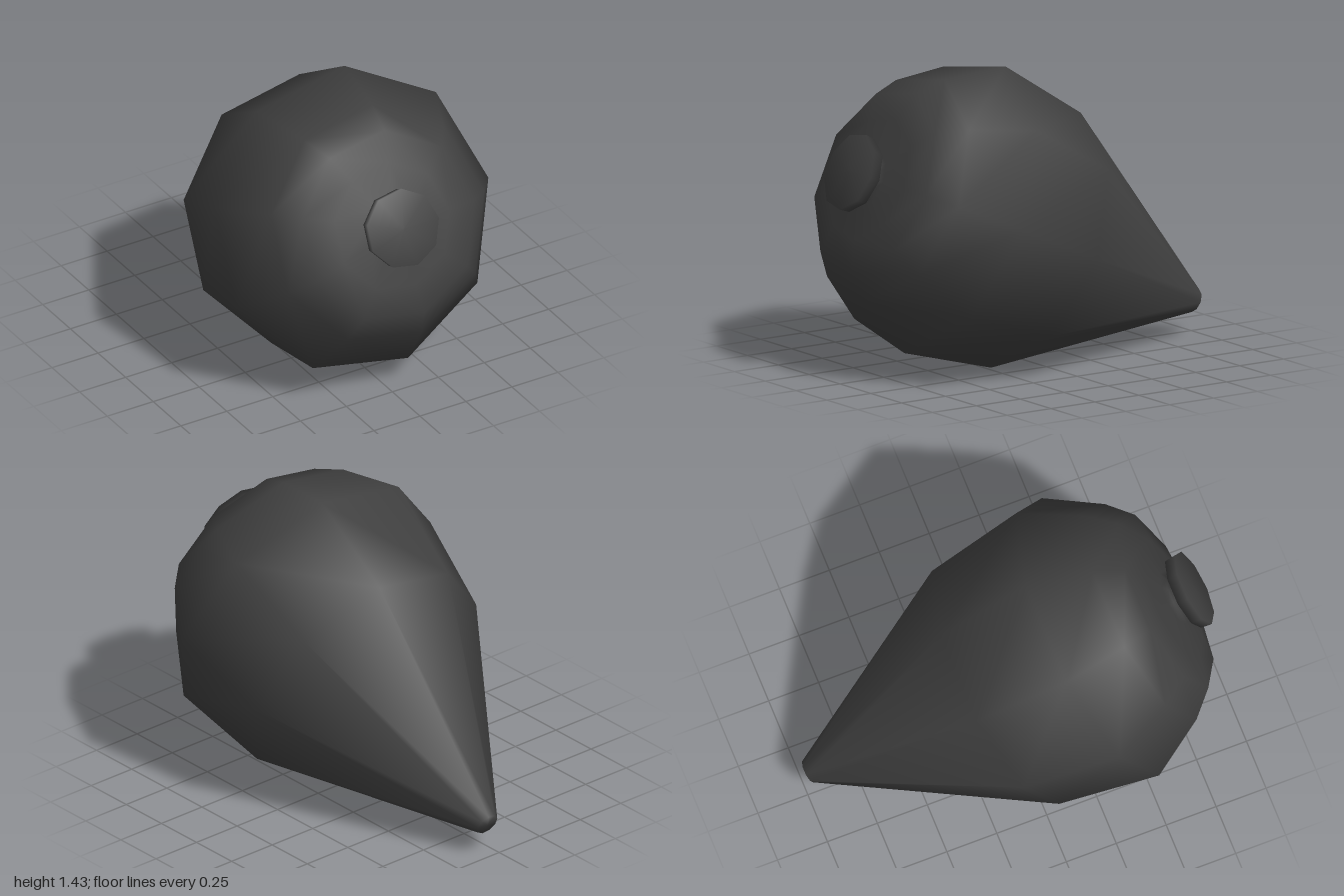
import * as THREE from 'three';

const SIDES = 9;

// Turned part: profile points are [radius, distance along the axis]
function turned(name, profile, material) {
  const points = profile.map(([r, t]) => new THREE.Vector2(r, t));
  const mesh = new THREE.Mesh(new THREE.LatheGeometry(points, SIDES, Math.PI / 2), material);
  mesh.name = name;
  return mesh;
}

export function createModel() {
  const group = new THREE.Group();
  group.name = 'taperedBulb';
  const material = new THREE.MeshStandardMaterial({ color: 0x404040 });

  // Leaning axis, running from the pointed back tip to the front button
  const axisGroup = new THREE.Group();
  axisGroup.name = 'leaningAxis';
  const yAxis = new THREE.Vector3(-0.046, 0.405, 0.913).normalize();
  const xAxis = new THREE.Vector3(1, 0, 0).addScaledVector(yAxis, -yAxis.x).normalize();
  const zAxis = new THREE.Vector3().crossVectors(xAxis, yAxis);
  axisGroup.quaternion.setFromRotationMatrix(new THREE.Matrix4().makeBasis(xAxis, yAxis, zAxis));
  axisGroup.position.set(0.055, 0.16, -0.98);
  group.add(axisGroup);

  // Cone-shaped body with a rounded front and a short neck
  axisGroup.add(turned('body', [
    [0, 0], [0.057, 0.002], [0.64, 1.032], [0.72, 1.53], [0.56, 1.81],
    [0.45, 1.929], [0.3, 1.96], [0.14, 1.972], [0.093, 1.985], [0.088, 2.01], [0.1, 2.03],
  ], material));

  // Flat button on the neck
  axisGroup.add(turned('button', [
    [0, 2.022], [0.1, 2.022], [0.182, 2.025], [0.188, 2.08], [0, 2.084],
  ], material));

  return group;
}
